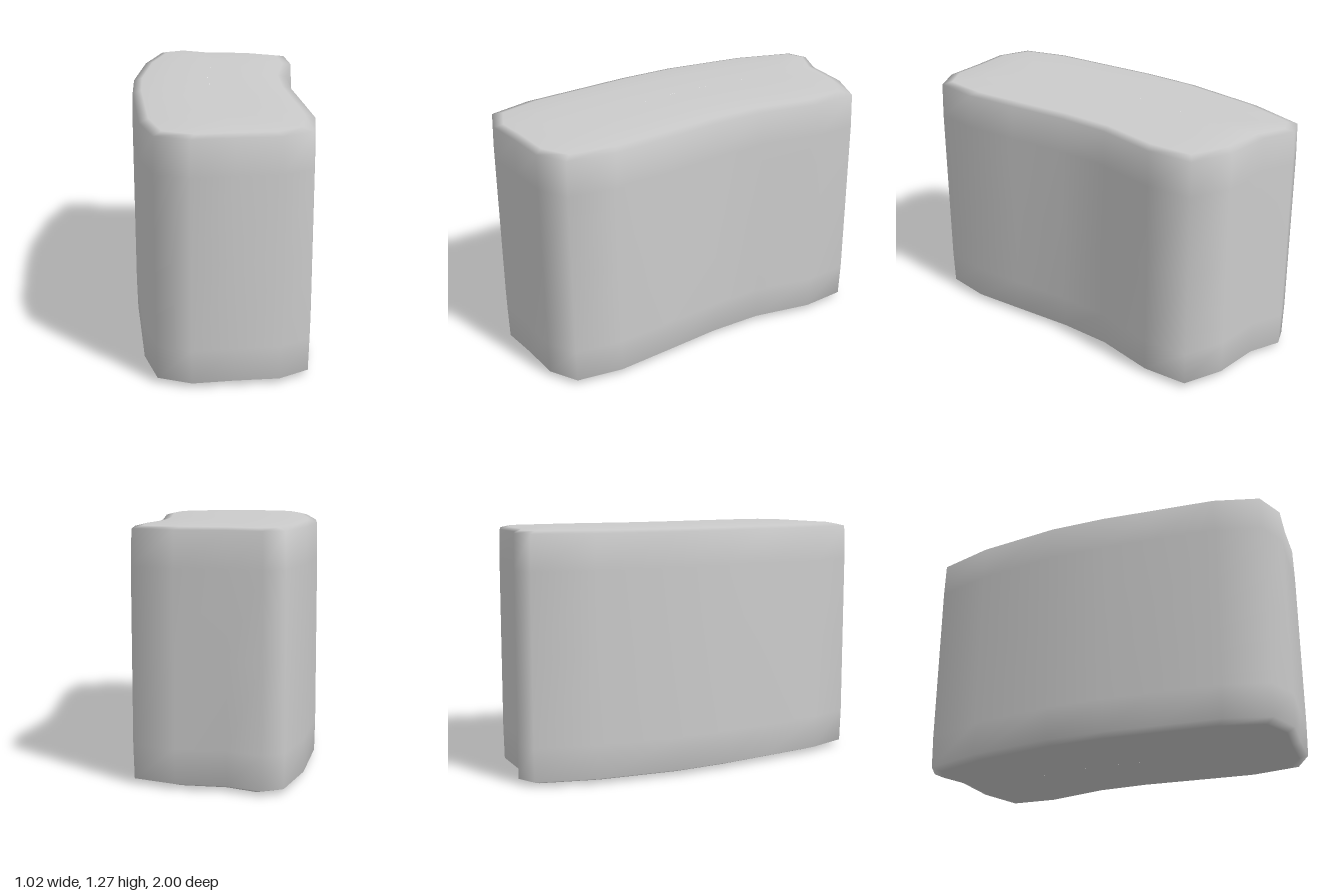
import * as THREE from 'three';

// Plan outline of the block, as [x, z]
const outline = [
  [-0.21, -0.97], [-0.1, -1], [0.06, -0.91], [0.31, -0.86], [0.51, -0.75], [0.5, -0.51],
  [0.4, -0.2], [0.365, 0.08], [0.355, 0.4], [0.345, 0.69], [0.28, 0.93], [0.12, 0.995],
  [-0.1, 0.98], [-0.31, 0.975], [-0.47, 0.89], [-0.51, 0.65], [-0.495, 0.3], [-0.485, 0.05],
  [-0.45, -0.25], [-0.34, -0.68],
];

// Cross-sections from bottom to top: [height, pull towards the curved centre line]
const sections = [
  [0, 1], [0, 0.5], [0.009, 0.12], [0.026, 0.01], [0.2, 0], [0.64, 0],
  [1.07, 0], [1.25, 0.01], [1.263, 0.12], [1.272, 0.5], [1.272, 1],
];

// Centre line x at depth z, bending towards +x at the back
const spineX = (z) => -0.07 + 0.28 * Math.max(0, 0.1 - z) ** 2;

function blockGeometry() {
  const positions = [], index = [], n = outline.length;
  for (const [y, pull] of sections) {
    for (const [x, z] of outline) {
      const sz = z * 0.6;
      positions.push(x + (spineX(sz) - x) * pull, y, z + (sz - z) * pull);
    }
  }
  for (let k = 0; k < sections.length - 1; k++) {
    for (let i = 0; i < n; i++) {
      const j = (i + 1) % n;
      const a = k * n + i, b = k * n + j, c = a + n, d = b + n;
      index.push(a, c, b, b, c, d);
    }
  }
  const geometry = new THREE.BufferGeometry();
  geometry.setAttribute('position', new THREE.Float32BufferAttribute(positions, 3));
  geometry.setIndex(index);
  geometry.computeVertexNormals();
  // The flat caps meet on the centre line with straight vertical normals
  const normal = geometry.attributes.normal;
  for (let i = 0; i < n; i++) {
    normal.setXYZ(i, 0, -1, 0);
    normal.setXYZ((sections.length - 1) * n + i, 0, 1, 0);
  }
  return geometry;
}

export function createModel() {
  const group = new THREE.Group();
  group.name = 'curvedStone';
  const block = new THREE.Mesh(blockGeometry(), new THREE.MeshStandardMaterial({ color: 0xcccccc }));
  block.name = 'stoneBlock';
  group.add(block);
  return group;
}
